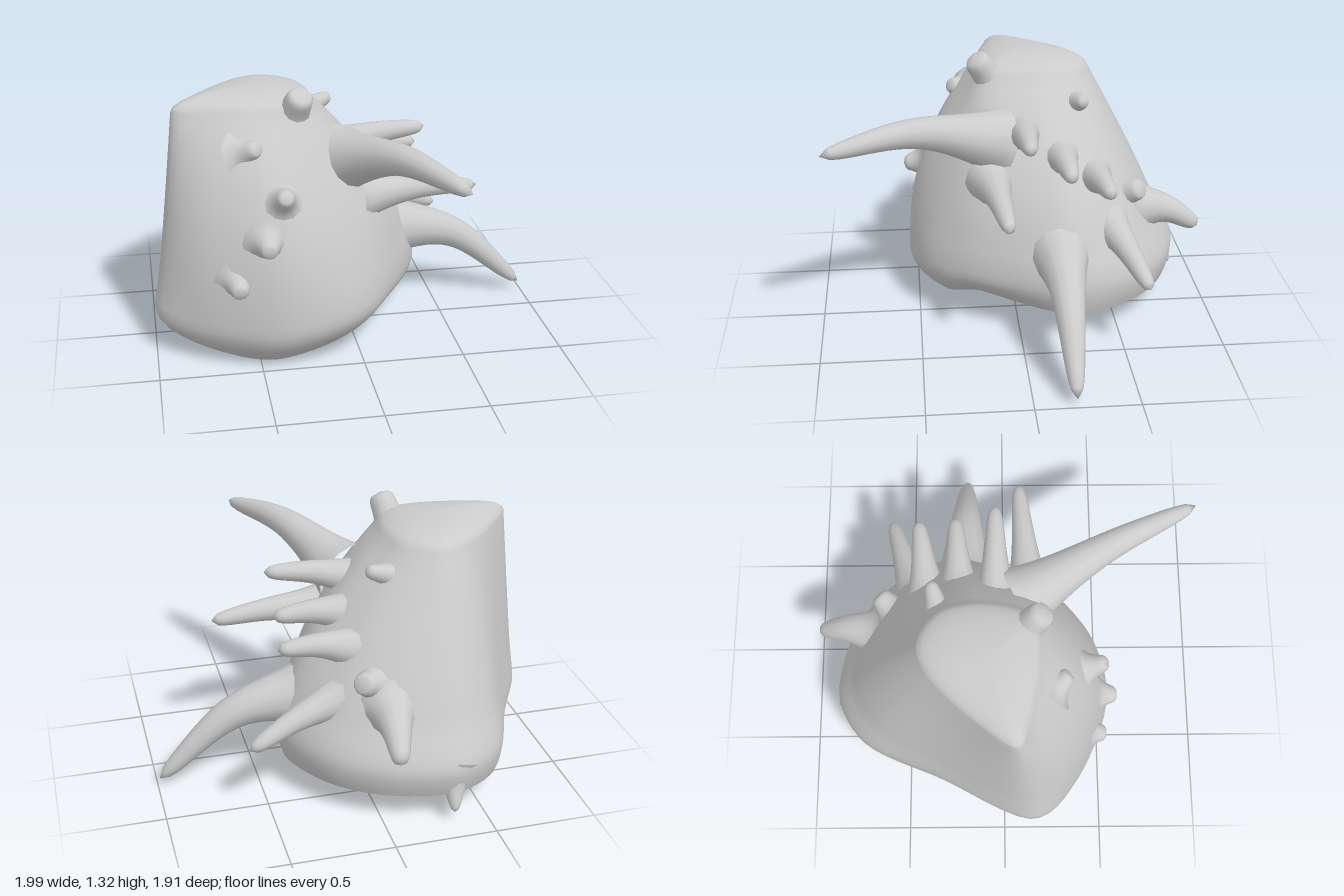
import * as THREE from 'three';
import { mergeVertices } from 'three/addons/utils/BufferGeometryUtils.js';

const material = new THREE.MeshStandardMaterial({ color: 0xcccccc, roughness: 0.9 });
const N = 66, WALL = 26, DOME = 7, FOOT = 0, WAIST = 0.2, SHOULDER = 1.2;
const { lerp, clamp } = THREE.MathUtils;

// Widest outline [x, z, bulge], from the left corner round by the front, right and back
const waist = [
  [-1, .13, .85], [-.79, .38, 2.2], [-.4, .54, 2.4], [-.04, .47, 1.7], [.2, .22, 2.1], [.4, -.25, 1.8],
  [.26, -.6, 1.5], [0, -.8, 1.3], [-.34, -.87, 1.2], [-.6, -.73, 1.2], [-.77, -.37, 1.2],
];
// Matching outline of the shoulder below the domed top
const shoulder = [
  [-.87, .05], [-.73, .12], [-.5, .17], [-.27, .16], [-.2, .06], [-.17, -.12],
  [-.2, -.28], [-.28, -.37], [-.4, -.41], [-.54, -.35], [-.7, -.19],
];

// One ring of the body: tucked in below the waist, leaning in to the shoulder above it
function bodyRing(y) {
  const t = Math.max(0, (y - WAIST) / (SHOULDER - WAIST));
  const low = Math.max(0, 1 - y / WAIST) ** 2;
  const corners = waist.map(([x, z, bulge], i) => {
    const k = t ** bulge;
    const tuck = 1 - (z > 0 ? 0.19 : 0.04) * low;
    const px = lerp(x, shoulder[i][0], k), pz = lerp(z, shoulder[i][1], k);
    return new THREE.Vector3(-.3 + (px + .3) * tuck, y, -.15 + (pz + .15) * tuck);
  });
  const curve = new THREE.CatmullRomCurve3(corners, true, 'catmullrom', 0.45);
  return Array.from({ length: N }, (_, j) => {
    const p = curve.getPoint(j / N);
    // The underside rises toward the back and right
    const rise = clamp(0.25 * (0.35 - p.z), 0, 0.14) + 0.2 * Math.max(0, p.x + 0.45);
    return [p.x, y + Math.min(rise, 0.14) * Math.max(0, 1 - y / 0.45), p.z];
  });
}

function geometryOf(points, index) {
  const g = new THREE.BufferGeometry();
  g.setAttribute('position', new THREE.Float32BufferAttribute(points.flat(), 3));
  g.setIndex(index);
  g.computeVertexNormals();
  return g;
}

// Arched, tapered tube, flared where it meets the body and rounded at the tip
function spikeGeometry(base, tip, arch, r0, r1) {
  const a = new THREE.Vector3(...base), b = new THREE.Vector3(...tip);
  const mid = a.clone().lerp(b, 0.5);
  mid.y += arch;
  const curve = new THREE.CatmullRomCurve3([a, mid, b]);
  const T = 20, R = 12;
  const g = new THREE.TubeGeometry(curve, T, 1, R, false);
  const pos = g.attributes.position, p = new THREE.Vector3();
  for (let i = 0; i <= T; i++) {
    const t = i / T, c = curve.getPointAt(t);
    const flare = 1 + 0.6 * (1 - t) ** 4;
    const r = lerp(r0, r1, t) * flare * Math.sqrt(1 - t ** 16);
    for (let j = 0; j <= R; j++) {
      const k = i * (R + 1) + j;
      p.fromBufferAttribute(pos, k).sub(c).multiplyScalar(r).add(c);
      pos.setXYZ(k, p.x, p.y, p.z);
    }
  }
  g.deleteAttribute('uv');
  g.deleteAttribute('normal');
  const smooth = mergeVertices(g);
  smooth.computeVertexNormals();
  return smooth;
}

export function createModel() {
  const model = new THREE.Group();
  const add = (name, geometry) => {
    const mesh = new THREE.Mesh(geometry, material);
    mesh.name = name;
    model.add(mesh);
  };
  const spike = (name, base, tip, arch, r0, r1) => add(name, spikeGeometry(base, tip, arch, r0, r1));

  // Body wall, then the low dome that closes it
  const rings = [];
  for (let i = 0; i <= WALL; i++) rings.push(bodyRing(lerp(FOOT, SHOULDER, i / WALL)));
  const rim = rings[WALL];
  for (let i = 1; i < DOME; i++) {
    const a = (i / DOME) * Math.PI / 2, s = Math.cos(a);
    rings.push(rim.map(([x, y, z]) => [-.48 + (x + .48) * s, y + 0.085 * Math.sin(a), -.08 + (z + .08) * s]));
  }
  const last = rings.length - 1;
  const wall = [], under = [];
  for (let j = 0; j < N; j++) {
    const next = (j + 1) % N;
    for (let i = 0; i < last; i++) {
      const a = i * N + j, b = i * N + next;
      wall.push(a, b, b + N, a, b + N, a + N);
    }
    wall.push(last * N + j, last * N + next, (last + 1) * N);
    under.push(next, j, N);
  }
  add('body', geometryOf([...rings.flat(), [-.48, SHOULDER + 0.085, -.08]], wall));

  // Slightly hollow underside with a crisp rim
  add('underside', geometryOf([...rings[0], [-.3, .12, -.15]], under));

  // Two long horns
  spike('lowerHorn', [.2, .44, -.2], [.99, .04, -.2], .13, .115, .035);
  spike('upperHorn', [-.05, .92, .08], [.39, 1.04, .95], .075, .11, .035);

  // Spikes fanned down the right-facing side
  for (const [base, tip] of [
    [[.04, .74, .13], [.65, .74, .08]],
    [[-.1, .94, -.04], [.4, 1.03, -.04]],
    [[0, .85, -.22], [.4, .88, -.24]],
    [[.02, .74, -.38], [.42, .8, -.43]],
    [[.1, .53, -.45], [.6, .38, -.6]],
  ]) spike('sideSpike', base, tip, .02, .08, .035);

  // Spikes at the back and the upper side
  spike('backSpike', [-.08, .52, -.62], [-.03, .42, -.96], .04, .1, .04);
  spike('heelSpike', [-.36, .24, -.76], [-.33, .06, -.88], 0, .08, .02);
  spike('upperSpike', [-.22, 1.05, -.3], [-.03, 1.12, -.35], 0, .07, .03);

  // Short knobs
  spike('crestKnob', [-.3, 1.1, .07], [-.25, 1.3, .19], .01, .08, .065);
  spike('topKnob', [-.3, 1.16, -.16], [-.27, 1.24, -.16], 0, .08, .05);
  spike('shoulderKnob', [-.02, .63, -.55], [.07, .68, -.64], 0, .08, .05);
  for (const [base, tip] of [
    [[-.6, .45, .41], [-.6, .43, .52]],
    [[-.46, .66, .45], [-.46, .65, .56]],
    [[-.38, .83, .38], [-.37, .9, .5]],
    [[-.55, 1.03, .22], [-.48, 1.08, .31]],
  ]) spike('frontKnob', base, tip, 0, .075, .035);
  return model;
}
